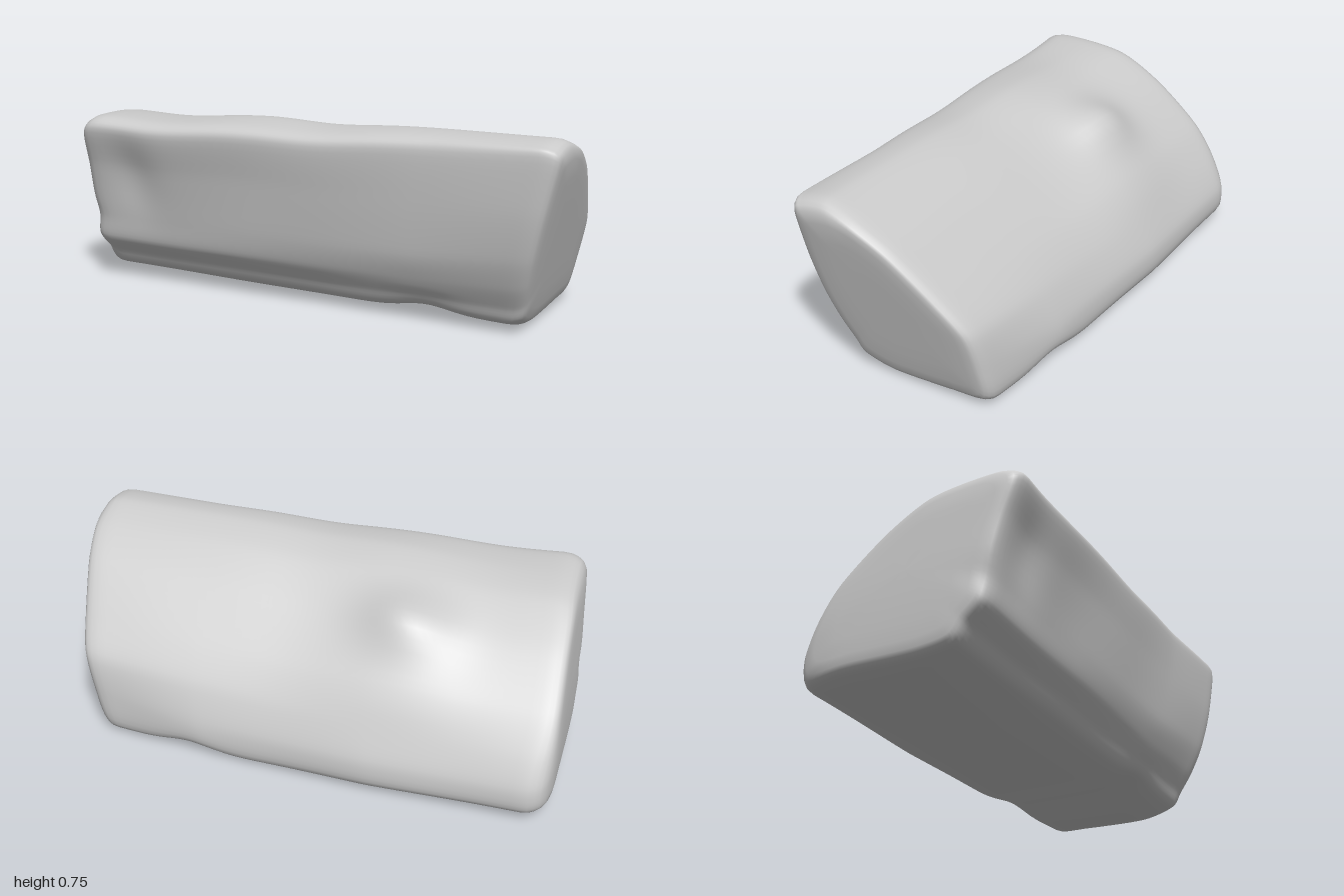
import * as THREE from 'three';

// Cross-sections as [z, y], running from the front top edge over the back and under
const SECTIONS = [
  { x: -1, pts: [[.437, .66], [.38, .705], [.22, .7], [.08, .67], [-.1, .56], [-.28, .4], [-.38, .265], [-.435, .14],
    [-.415, .04], [-.22, .04], [.05, .035], [.2, .055], [.25, .12], [.315, .185], [.338, .29], [.39, .5]] },
  { x: -0.25, pts: [[.405, .67], [.36, .715], [.22, .73], [.08, .69], [-.08, .58], [-.27, .41], [-.37, .27], [-.43, .14],
    [-.41, .03], [-.22, .012], [.05, .01], [.2, .05], [.25, .115], [.305, .185], [.335, .29], [.37, .5]] },
  { x: 0.5, pts: [[.365, .69], [.325, .735], [.22, .745], [.09, .7], [-.06, .6], [-.24, .43], [-.34, .3], [-.395, .15],
    [-.38, .025], [-.22, .01], [.06, .01], [.2, .045], [.245, .11], [.29, .19], [.325, .29], [.35, .5]] },
  { x: 1, pts: [[.357, .71], [.325, .74], [.22, .752], [.1, .71], [-.04, .62], [-.2, .46], [-.31, .33], [-.34, .18],
    [-.335, .03], [-.2, .012], [.07, .005], [.205, .045], [.24, .11], [.285, .2], [.322, .32], [.348, .5]] },
];
const AROUND = 96, ALONG = 56;
const bell = (d, w) => Math.exp(-(d * d) / (w * w));

const curves = SECTIONS.map(s => new THREE.CatmullRomCurve3(
  s.pts.map(([z, y]) => new THREE.Vector3(0, y, z)), true, 'catmullrom', 0.4));

// Slanted right end and slightly leaning left end, with a small notch at its front edge
const rightEnd = y => 0.805 + 0.265 * y - 0.02 * bell(y - 0.75, 0.04);
const leftEnd = (y, z, k) => -1 + 0.025 * THREE.MathUtils.smoothstep(y, 0.2, 0.75)
  + k ** 6 * (0.02 * bell(y - 0.28, 0.06) * THREE.MathUtils.smoothstep(z, 0.1, 0.3)
    + 0.03 * bell(y - 0.72, 0.06) + 0.04 * bell(z + 0.44, 0.1));

// Point on the skin: t runs along the rock, u around it, k shrinks towards the core
function skin(t, u, k) {
  const x0 = -1 + 2 * t;
  let i = 0;
  while (i < SECTIONS.length - 2 && x0 > SECTIONS[i + 1].x) i++;
  const f = (x0 - SECTIONS[i].x) / (SECTIONS[i + 1].x - SECTIONS[i].x);
  const p = curves[i].getPoint(u).lerp(curves[i + 1].getPoint(u), f);
  const x = THREE.MathUtils.lerp(leftEnd(p.y, p.z, 1), rightEnd(p.y), t);

  // Knob and broad swelling on the back slope
  const lump = THREE.MathUtils.smoothstep(p.y, 0.1, 0.35) * (
    0.075 * bell(x + 0.38, 0.17) * bell(p.z + 0.09, 0.1) + 0.03 * bell(x + 0.4, 0.3) * bell(p.z + 0.24, 0.16));
  // Shallow hollow in the front near the left end
  const hollow = p.z > 0.3 ? 0.022 * bell(x + 0.77, 0.11) * bell(p.y - 0.48, 0.15) : 0;
  // Dips along the top and a raised notch in the underside
  const dip = (0.012 * bell(x - 0.05, 0.2) + 0.015 * bell(x + 0.62, 0.22)) * p.y / 0.7;
  const notch = 0.035 * bell(x - 0.42, 0.13) * Math.max(0, 1 - p.y / 0.15);
  // Gentle weathering
  const wear = 0.004 * Math.sin(5 * x + 3 * p.y) * Math.sin(4 * x - 9 * p.y);
  p.y += lump * 0.74 - dip + notch;
  p.z += wear * THREE.MathUtils.clamp(p.z * 8, -1, 1) - lump * 0.67 - hollow;

  p.y = 0.37 + (p.y - 0.37) * k;
  p.z = 0.01 + (p.z - 0.01) * k;
  p.x = THREE.MathUtils.lerp(leftEnd(p.y, p.z, k), rightEnd(p.y), t);
  return p;
}

function rockGeometry() {
  // Rings as [t, k]: left cap, rounded rim, body, rounded rim, right cap
  const rim = [[0, 0.001], [0, 0.3], [0, 0.6], [0.001, 0.8], [0.003, 0.9], [0.007, 0.945], [0.014, 0.973], [0.024, 0.993]];
  const rings = [...rim];
  for (let i = 0; i <= ALONG; i++) rings.push([0.04 + 0.92 * i / ALONG, 1]);
  rings.push(...rim.map(([t, k]) => [1 - t, k]).reverse());

  const pos = [], idx = [];
  for (const [t, k] of rings)
    for (let j = 0; j < AROUND; j++) pos.push(...skin(t, j / AROUND, k).toArray());
  for (let r = 0; r < rings.length - 1; r++)
    for (let j = 0; j < AROUND; j++) {
      const a = r * AROUND + j, b = r * AROUND + (j + 1) % AROUND;
      idx.push(a, b, a + AROUND, b, b + AROUND, a + AROUND);
    }
  // Wind the faces outward, judged by signed volume
  let volume = 0;
  const v = [0, 1, 2].map(() => new THREE.Vector3());
  for (let i = 0; i < idx.length; i += 3) {
    v.forEach((q, n) => q.fromArray(pos, idx[i + n] * 3));
    volume += v[0].dot(v[1].clone().cross(v[2]));
  }
  const g = new THREE.BufferGeometry();
  g.setAttribute('position', new THREE.Float32BufferAttribute(pos, 3));
  g.setIndex(volume < 0 ? idx.reverse() : idx);
  g.computeVertexNormals();
  g.computeBoundingBox();
  g.translate(0, -g.boundingBox.min.y, 0);
  return g;
}

export function createModel() {
  const group = new THREE.Group();
  group.name = 'rock';
  const rock = new THREE.Mesh(rockGeometry(), new THREE.MeshStandardMaterial({ color: 0xcccccc }));
  rock.name = 'boulder';
  group.add(rock);
  return group;
}
